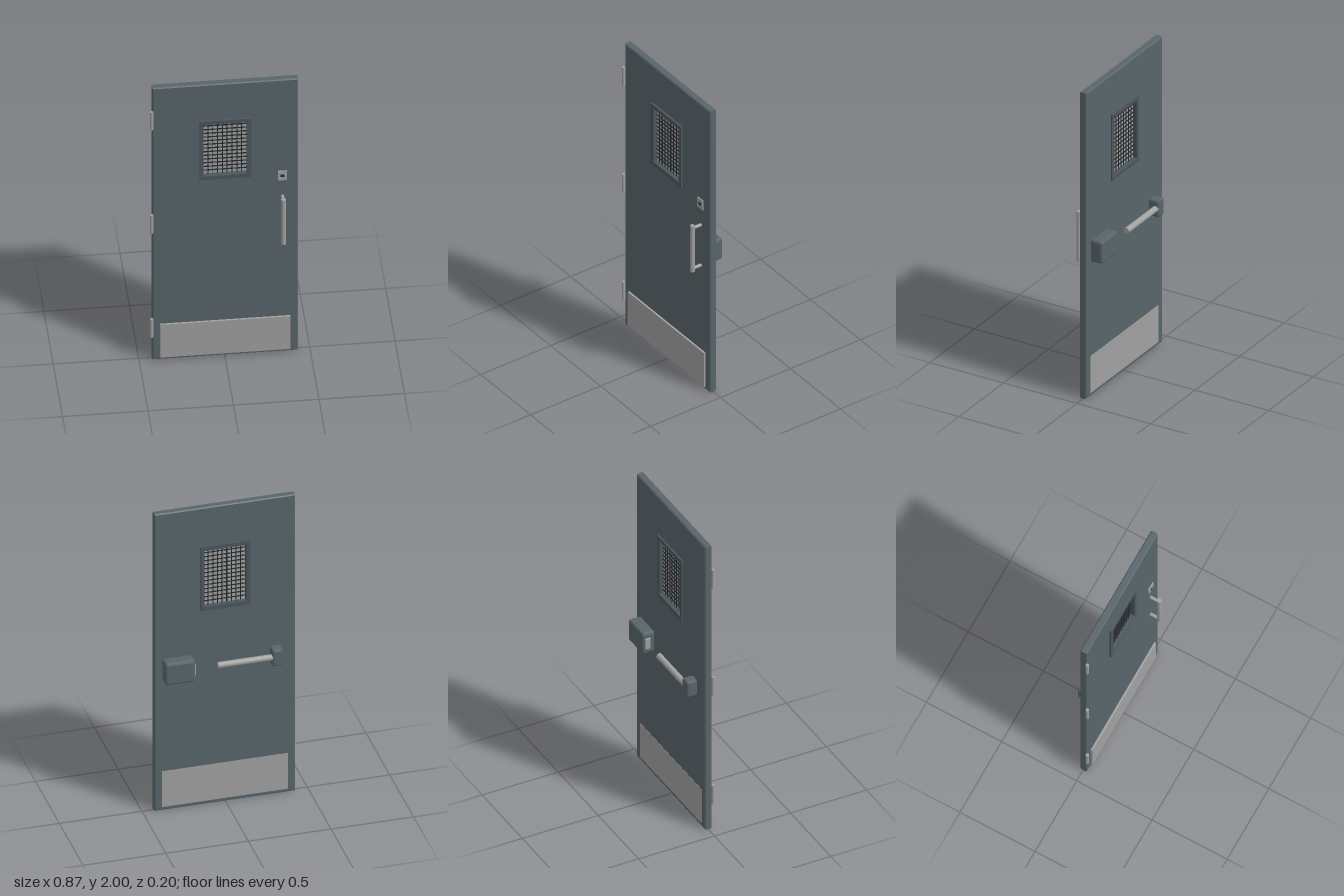
import * as THREE from 'three';
import { RoundedBoxGeometry } from 'three/addons/geometries/RoundedBoxGeometry.js';

const mat = (name, color) => {
  const m = new THREE.MeshStandardMaterial({ color });
  m.name = name;
  return m;
};

export function createModel() {
  const root = new THREE.Group();
  root.name = 'securityDoor';
  const paint = mat('door paint', 0x58656b);
  const trim = mat('frame paint', 0x4b575c);
  const steel = mat('steel', 0xa0a1a0);
  const dark = mat('dark wire', 0x24292c);

  const add = (name, geometry, material, x, y, z, parent = root) => {
    const mesh = new THREE.Mesh(geometry, material);
    mesh.name = name;
    mesh.position.set(x, y, z);
    parent.add(mesh);
    return mesh;
  };
  // Box given by its limits on each axis
  const box = (name, material, x0, x1, y0, y1, z0, z1, parent) =>
    add(name, new THREE.BoxGeometry(x1 - x0, y1 - y0, z1 - z0), material,
      (x0 + x1) / 2, (y0 + y1) / 2, (z0 + z1) / 2, parent);
  // Box with flat chamfered edges
  const chamferBox = (name, material, x0, x1, y0, y1, z0, z1, bevel) => {
    const g = new RoundedBoxGeometry(x1 - x0, y1 - y0, z1 - z0, 1, bevel);
    g.computeVertexNormals();
    return add(name, g, material, (x0 + x1) / 2, (y0 + y1) / 2, (z0 + z1) / 2);
  };
  const rect = (Type, x0, x1, y0, y1) => {
    const s = new Type();
    s.moveTo(x0, y0);
    s.lineTo(x1, y0);
    s.lineTo(x1, y1);
    s.lineTo(x0, y1);
    s.closePath();
    return s;
  };

  // Door leaf with a window opening and chamfered rim
  const b = 0.006;
  const outline = rect(THREE.Shape, -0.423 + b, 0.43 - b, b, 2 - b);
  outline.holes.push(rect(THREE.Path, -0.138, 0.143, 1.322, 1.728));
  const leaf = new THREE.ExtrudeGeometry(outline, {
    depth: 0.045 - 2 * b, bevelEnabled: true, bevelSize: b, bevelThickness: b, bevelSegments: 1,
  });
  add('doorLeaf', leaf, paint, 0, 0, -0.021 + b);

  // Window frame, glass and wire mesh
  const win = new THREE.Group();
  win.name = 'window';
  root.add(win);
  for (const [y0, y1] of [[1.31, 1.336], [1.714, 1.74]])
    box('frameRail', trim, -0.15, 0.155, y0, y1, -0.032, 0.037, win);
  for (const [x0, x1] of [[-0.15, -0.124], [0.129, 0.155]])
    box('frameStile', trim, x0, x1, 1.336, 1.714, -0.029, 0.034, win);
  box('glass', steel, -0.124, 0.129, 1.336, 1.714, -0.003, 0.007, win);
  for (const z of [-0.006, 0.01]) {
    for (let i = 1; i < 9; i++)
      add('meshUpright', new THREE.BoxGeometry(0.005, 0.378, 0.005), dark,
        -0.124 + i * 0.253 / 9, 1.525, z, win);
    for (let i = 1; i < 14; i++)
      add('meshCrosswire', new THREE.BoxGeometry(0.253, 0.005, 0.005), dark,
        0.0025, 1.336 + i * 0.027, z, win);
  }

  // Kick plates on both faces
  box('frontKickPlate', steel, -0.377, 0.385, 0.022, 0.263, 0.022, 0.036);
  box('backKickPlate', steel, -0.377, 0.385, 0.022, 0.263, -0.0225, -0.018);

  // Hinge barrels
  for (const y of [0.24, 1.007, 1.767])
    add('hinge', new THREE.CylinderGeometry(0.01, 0.01, 0.13, 16), steel, -0.427, y, 0.03);

  // Pull handle with two posts
  add('handleGrip', new THREE.CylinderGeometry(0.014, 0.014, 0.325, 20), steel, 0.338, 1.003, 0.085);
  for (const y of [0.86, 1.146])
    add('handlePost', new THREE.CylinderGeometry(0.01, 0.01, 0.065, 16), steel, 0.338, y, 0.053)
      .rotation.x = Math.PI / 2;

  // Key lock
  box('lockPlate', steel, 0.311, 0.365, 1.265, 1.332, 0.022, 0.031);
  box('keyhole', dark, 0.327, 0.349, 1.291, 1.307, 0.029, 0.033);

  // Panic bar on the back
  chamferBox('latchBox', paint, 0.204, 0.385, 0.88, 1.026, -0.101, -0.02, 0.014);
  chamferBox('latchInsert', steel, 0.196, 0.22, 0.915, 0.99, -0.087, -0.051, 0.005);
  chamferBox('barEndBox', paint, -0.33, -0.265, 0.898, 1.008, -0.091, -0.02, 0.012);
  add('pushBar', new THREE.CylinderGeometry(0.019, 0.019, 0.35, 24), steel, -0.114, 0.953, -0.069)
    .rotation.z = Math.PI / 2;

  return root;
}
